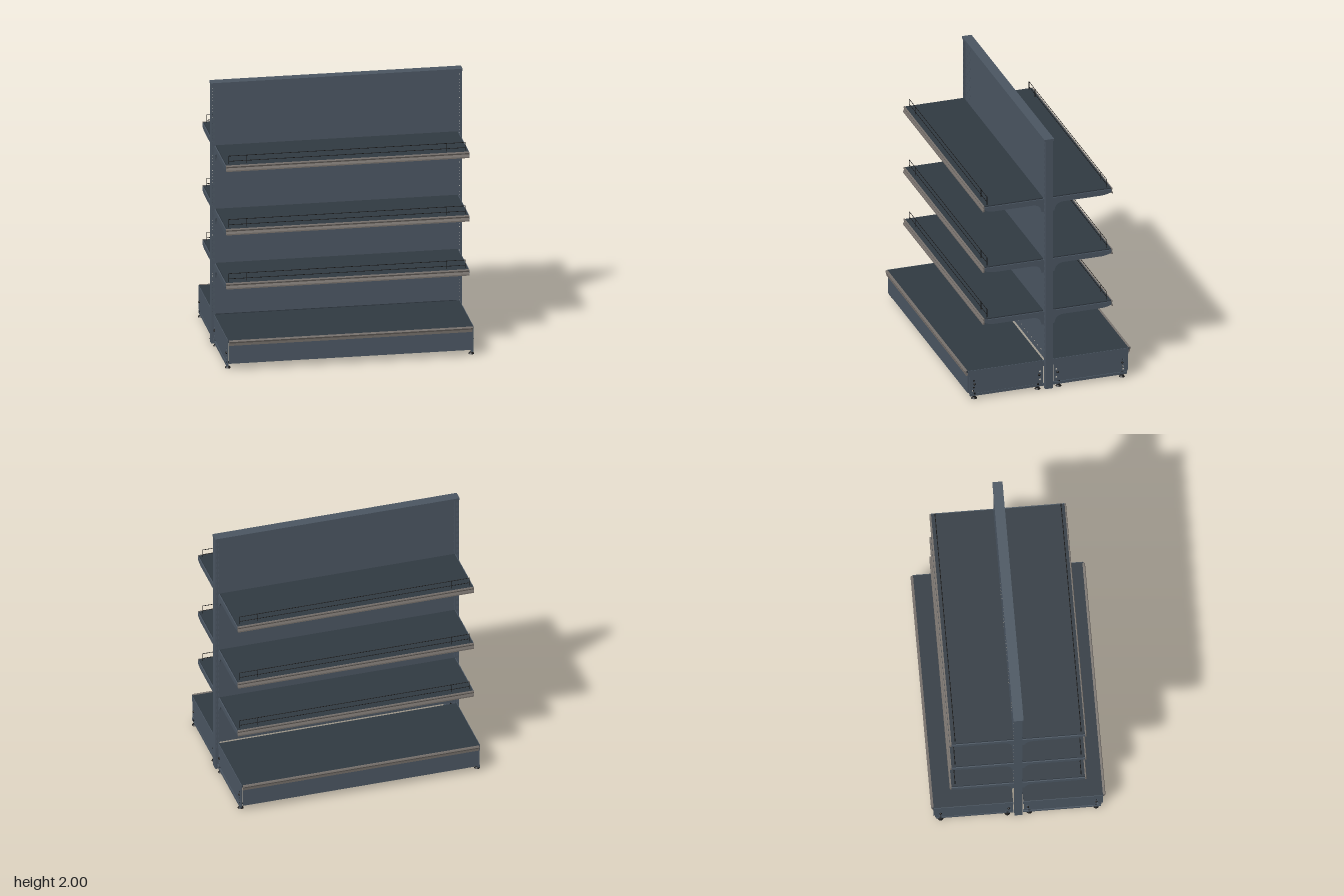
import * as THREE from 'three';
import { mergeGeometries } from 'three/addons/utils/BufferGeometryUtils.js';

const mat = (color) => new THREE.MeshStandardMaterial({ color, side: THREE.DoubleSide });
const frame = mat(0x4a5561), dark = mat(0x303941), strip = mat(0x77716c), black = mat(0x141414);

function add(parent, name, geometry, material) {
  const m = new THREE.Mesh(geometry, material);
  m.name = name;
  parent.add(m);
  return m;
}

// box from its lower and upper limits
function box(x0, x1, y0, y1, z0, z1) {
  return new THREE.BoxGeometry(x1 - x0, y1 - y0, z1 - z0)
    .translate((x0 + x1) / 2, (y0 + y1) / 2, (z0 + z1) / 2);
}

// a (z, y) profile extruded along x from x0 to x1
function profile(shape, x0, x1) {
  return new THREE.ExtrudeGeometry(shape, { depth: x1 - x0, bevelEnabled: false, curveSegments: 8 })
    .rotateY(-Math.PI / 2).translate(x1, 0, 0);
}

const polygon = (pts) => new THREE.Shape(pts.map((p) => new THREE.Vector2(...p)));
const rectangle = (x0, x1, y0, y1) => polygon([[x0, y0], [x1, y0], [x1, y1], [x0, y1]]);

function hole(x, y, r) {
  return new THREE.Path().absarc(x, y, r, 0, Math.PI * 2, true);
}

// perforated sheet, one strip per row of staggered holes
function panel(y0, y1, firstRow, rows) {
  const pitch = 0.0365, parts = [];
  for (let i = 0; i < rows; i++) {
    const y = firstRow + i * pitch;
    const low = i === 0 ? y0 : y - pitch / 2, high = i === rows - 1 ? y1 : y + pitch / 2;
    const s = rectangle(-0.893, 0.893, low, high);
    const count = i % 2 ? 24 : 25;
    for (let j = 0; j < count; j++) s.holes.push(hole((j - (count - 1) / 2) * 0.073, y, 0.007));
    parts.push(new THREE.ShapeGeometry(s, 4));
  }
  return mergeGeometries(parts).translate(0, 0, 0.022);
}

// post face with two columns of slots
function postFace() {
  const s = rectangle(0.892, 0.922, 0, 1.99);
  for (let y = 0.18; y < 1.96; y += 0.045) {
    for (const x of [0.901, 0.914]) {
      s.holes.push(rectangle(x - 0.003, x + 0.003, y, y + 0.026));
    }
  }
  return new THREE.ShapeGeometry(s).translate(0, 0, 0.03);
}

function wire(a, b) {
  const p = new THREE.Vector3(...a), q = new THREE.Vector3(...b);
  return new THREE.TubeGeometry(new THREE.LineCurve3(p, q), 1, 0.0022, 6);
}

function shelf(y) {
  const g = new THREE.Group();
  g.name = 'shelf';
  g.position.y = y;
  // tray with folded edges
  add(g, 'shelfTray', mergeGeometries([
    box(-0.888, 0.888, -0.012, 0, 0.034, 0.485),
    box(-0.888, 0.888, -0.04, -0.012, 0.477, 0.485),
    box(-0.888, 0.888, -0.035, -0.012, 0.034, 0.04),
  ]), dark);
  // price strip on the front edge
  add(g, 'priceStrip', profile(polygon([
    [0.485, 0], [0.493, 0], [0.496, -0.008], [0.49, -0.02], [0.497, -0.036], [0.497, -0.046], [0.485, -0.042],
  ]), -0.893, 0.893), strip);
  // curved side brackets
  const s = new THREE.Shape();
  s.moveTo(0.03, -0.008);
  s.lineTo(0.485, -0.008);
  s.lineTo(0.485, -0.03);
  s.quadraticCurveTo(0.45, -0.048, 0.4, -0.048);
  s.lineTo(0.11, -0.048);
  s.quadraticCurveTo(0.053, -0.055, 0.05, -0.11);
  s.lineTo(0.03, -0.11);
  for (const x of [-0.897, 0.889]) add(g, 'shelfBracket', profile(s, x, x + 0.008), frame);
  // wire guard
  const z = 0.458, wires = [];
  for (const h of [0.022, 0.062]) wires.push(wire([-0.87, h, z], [0.87, h, z]));
  for (const x of [-0.87, -0.735, 0.735, 0.87]) wires.push(wire([x, -0.004, z], [x, 0.064, z]));
  add(g, 'wireGuard', mergeGeometries(wires), black);
  return g;
}

function base() {
  const g = new THREE.Group();
  g.name = 'base';
  add(g, 'baseDeck', mergeGeometries([
    box(-0.9, 0.9, 0.21, 0.225, 0.038, 0.622),
    box(-0.9, 0.9, 0.185, 0.21, 0.038, 0.044),
  ]), dark);
  add(g, 'deckSide', mergeGeometries([
    box(-0.904, -0.9, 0.18, 0.225, 0.034, 0.615),
    box(0.9, 0.904, 0.18, 0.225, 0.034, 0.615),
  ]), frame);
  add(g, 'baseStrip', profile(polygon([
    [0.615, 0.225], [0.63, 0.227], [0.634, 0.218], [0.627, 0.205], [0.625, 0.186], [0.613, 0.188],
  ]), -0.895, 0.895), strip);
  add(g, 'plinth', box(-0.892, 0.892, 0.045, 0.2, 0.604, 0.614), frame);
  // drilled side plates, bottom rails, screws and levelling feet
  for (const side of [-1, 1]) {
    const s = rectangle(0.04, 0.604, 0.042, 0.195);
    for (const [z, y] of [[0.57, 0.14], [0.57, 0.085], [0.575, 0.062], [0.062, 0.14], [0.062, 0.075]]) {
      s.holes.push(hole(z, y, 0.008));
    }
    const x = side * 0.9;
    add(g, 'sidePlate', profile(s, x - 0.003, x + 0.003), frame);
    add(g, 'sideRail', box(x - 0.01, x + 0.006, 0.022, 0.042, 0.035, 0.6), frame);
    for (const z of [0.08, 0.565]) {
      const foot = new THREE.Group();
      foot.name = 'levellingFoot';
      foot.position.set(side * 0.895, 0, z);
      add(foot, 'footPad', new THREE.CylinderGeometry(0.014, 0.022, 0.012, 16).translate(0, 0.006, 0), black);
      add(foot, 'footSpindle', new THREE.CylinderGeometry(0.007, 0.007, 0.14, 10).translate(0, 0.08, 0), black);
      add(foot, 'footNut', new THREE.CylinderGeometry(0.013, 0.013, 0.012, 6).translate(0, 0.04, 0), black);
      g.add(foot);
    }
    for (const z of [0.07, 0.565]) {
      add(g, 'screw', new THREE.SphereGeometry(0.009, 10, 8).translate(side * 0.905, 0.115, z), black);
    }
  }
  return g;
}

export function createModel() {
  const model = new THREE.Group();
  model.name = 'doubleSidedShelving';

  // one face of the unit, repeated on the back
  const half = new THREE.Group();
  half.name = 'frontHalf';
  add(half, 'lowerPanel', panel(0.225, 0.819, 0.27, 15), frame);
  add(half, 'middlePanel', panel(0.822, 1.411, 0.86, 15), frame);
  add(half, 'upperPanel', panel(1.414, 1.99, 1.475, 14), frame);
  const face = postFace();
  add(half, 'postFace', face, frame);
  add(half, 'postFace', face.clone().scale(-1, 1, 1), frame).material = frame;
  for (const y of [0.62, 1.035, 1.522]) half.add(shelf(y));
  half.add(base());
  const back = half.clone();
  back.name = 'backHalf';
  back.rotation.y = Math.PI;
  model.add(half, back);

  // post sides and top cap
  for (const x of [-0.922, -0.895, 0.892, 0.919]) {
    add(model, 'postSide', box(x, x + 0.003, 0, 1.99, -0.03, 0.03), frame);
  }
  add(model, 'topCap', box(-0.925, 0.925, 1.984, 2, -0.037, 0.037), frame);
  return model;
}
